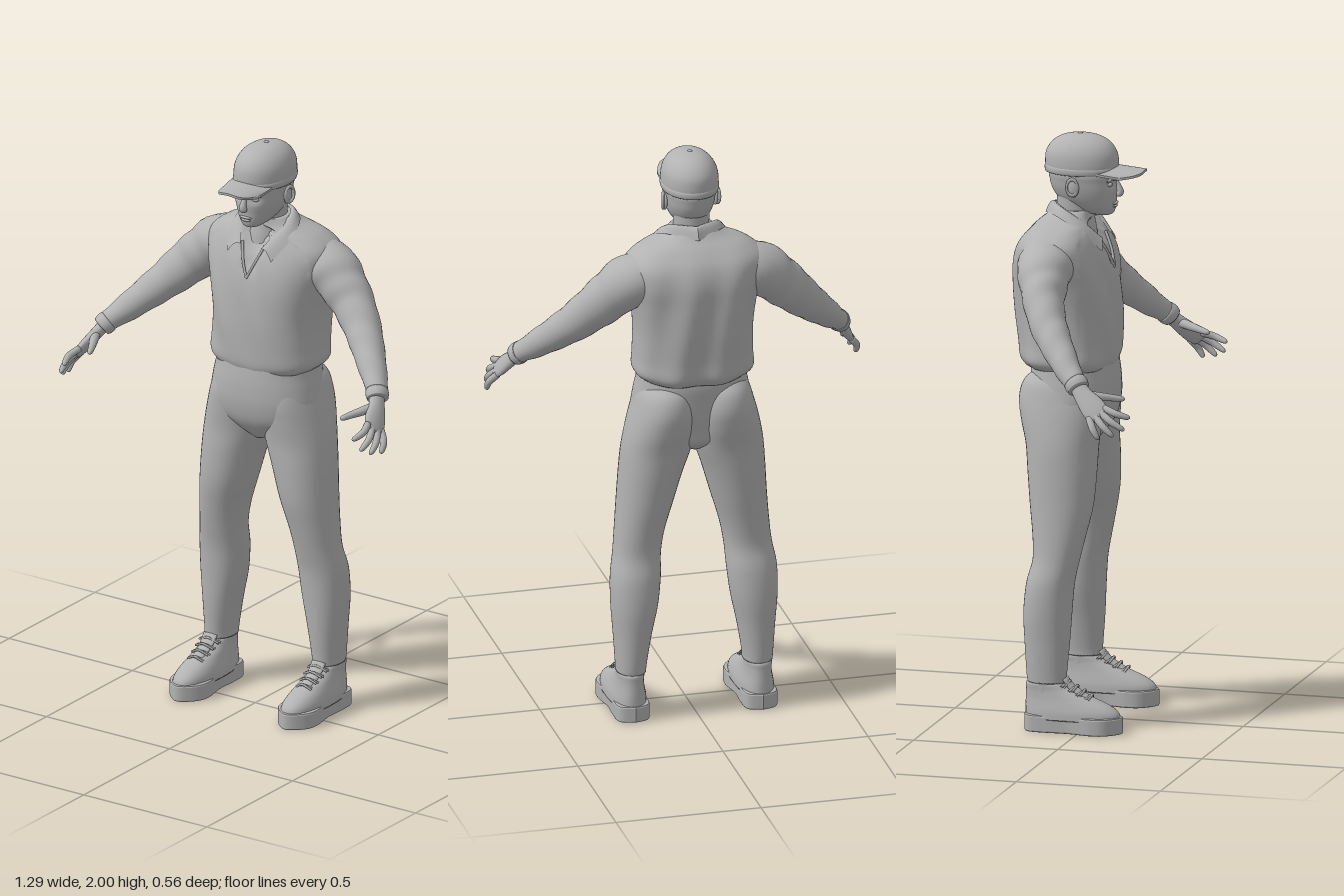
import * as THREE from 'three';

const V = (x, y, z) => new THREE.Vector3(x, y, z);
const clay = new THREE.MeshStandardMaterial({ color: 0xb2b2b2, side: THREE.DoubleSide });
clay.name = 'plain grey';

// Smoothly subdivide a list of number rows (uniform Catmull-Rom).
function smooth(rows, n) {
  const out = [], at = i => rows[Math.max(0, Math.min(rows.length - 1, i))];
  for (let i = 0; i < rows.length - 1; i++)
    for (let k = 0; k < n; k++) {
      const t = k / n, [p, q, r, s] = [at(i - 1), at(i), at(i + 1), at(i + 2)];
      out.push(q.map((_, c) => {
        const cubic = 3 * (q[c] - r[c]) + s[c] - p[c];
        const square = 2 * p[c] - 5 * q[c] + 4 * r[c] - s[c];
        return q[c] + 0.5 * t * (r[c] - p[c] + t * (square + t * cubic));
      }));
    }
  out.push(rows[rows.length - 1]);
  return out;
}

// Skin a stack of equal rings and close both ends.
function skin(rings) {
  const m = rings[0].length, pos = [], idx = [];
  rings.forEach(r => r.forEach(p => pos.push(p.x, p.y, p.z)));
  for (let i = 0; i < rings.length - 1; i++)
    for (let j = 0; j < m; j++) {
      const a = i * m + j, b = i * m + (j + 1) % m;
      idx.push(a, b, a + m, b, b + m, a + m);
    }
  [0, rings.length - 1].forEach(e => {
    const c = rings[e].reduce((s, p) => s.add(p), V(0, 0, 0)).divideScalar(m), k = pos.length / 3;
    pos.push(c.x, c.y, c.z);
    for (let j = 0; j < m; j++) {
      const a = e * m + j, b = e * m + (j + 1) % m;
      idx.push(k, ...(e ? [a, b] : [b, a]));
    }
  });
  const g = new THREE.BufferGeometry();
  g.setAttribute('position', new THREE.Float32BufferAttribute(pos, 3));
  g.setIndex(idx);
  g.computeVertexNormals();
  return g;
}

// Upright body from rows [y, xMin, xMax, zBack, zFront]; power squares off the rings.
function body(rows, power = 2, segs = 40, bend = p => p, n = 5) {
  const f = v => Math.sign(v) * Math.abs(v) ** (2 / power);
  return skin(smooth(rows, n).map(([y, x0, x1, zb, zf]) => Array.from({ length: segs }, (_, j) => {
    const a = j / segs * Math.PI * 2;
    const x = (x0 + x1) / 2 + (x1 - x0) / 2 * f(Math.cos(a));
    const z = (zb + zf) / 2 - (zf - zb) / 2 * f(Math.sin(a));
    return bend(V(x, y, z));
  })));
}
const even = rows => rows.map(([y, h, zb, zf]) => [y, -h, h, zb, zf]);

// Limb from rows [x, y, z, thickness, width]; ref is the direction of width.
function limb(rows, ref, segs = 16, n = 4, ripple = 0) {
  const rs = smooth(rows, n), c = rs.map(r => V(r[0], r[1], r[2]));
  return skin(rs.map((r, i) => {
    const T = c[Math.min(i + 1, c.length - 1)].clone().sub(c[Math.max(i - 1, 0)]).normalize();
    const B = ref.clone().addScaledVector(T, -ref.dot(T)).normalize(), A = B.clone().cross(T);
    return Array.from({ length: segs }, (_, j) => {
      const a = j / segs * Math.PI * 2, w = 1 + ripple * Math.sin(i * 1.1 + 2 * Math.sin(a));
      return c[i].clone().addScaledVector(A, r[3] * w * Math.cos(a)).addScaledVector(B, r[4] * w * Math.sin(a));
    });
  }));
}
const curve = pts => new THREE.CatmullRomCurve3(pts.map(p => V(...p)));
const cord = (pts, r) => new THREE.TubeGeometry(curve(pts), 20, r, 6);
const ball = (x, y, z, a, b, c) => new THREE.SphereGeometry(1, 20, 14).scale(a, b, c).translate(x, y, z);

// Mirror a geometry in x, keeping its faces outward.
function flipped(g) {
  const m = g.clone();
  if (!m.index) m.setIndex([...Array(m.attributes.position.count).keys()]);
  m.scale(-1, 1, 1);
  const ix = m.index.array;
  for (let i = 0; i < ix.length; i += 3) [ix[i], ix[i + 1]] = [ix[i + 1], ix[i]];
  return m;
}

export function createModel() {
  const group = new THREE.Group();
  const add = (name, g) => {
    const m = new THREE.Mesh(g, clay);
    m.name = name;
    group.add(m);
  };
  const pair = (name, g) => { add(name + 'Left', g); add(name + 'Right', flipped(g)); };

  // Shirt with loose folds at the back and an open neck
  add('shirt', body(even([
    [1.212, 0.178, -0.235, 0.055], [1.24, 0.202, -0.252, 0.063], [1.3, 0.2, -0.258, 0.065],
    [1.4, 0.2, -0.27, 0.066], [1.5, 0.213, -0.275, 0.06], [1.58, 0.232, -0.272, 0.042],
    [1.64, 0.235, -0.252, 0.016], [1.685, 0.185, -0.215, -0.008], [1.715, 0.11, -0.18, -0.02],
    [1.74, 0.07, -0.155, -0.022]]), 2.5, 96, p => {
    if (p.z < -0.14) p.z += 0.007 * Math.sin(p.x * 42 + p.y * 6) * Math.min(1, (1.74 - p.y) * 4);
    else if (p.z > -0.02) {
      p.z += 0.004 * Math.sin(p.x * 38 + p.y * 22) * Math.min(1, Math.abs(p.x) * 12);
      const gap = (p.y - 1.55) * 0.42 - Math.abs(p.x);
      if (gap > 0) p.z -= Math.min(0.02, gap * 1.2);
    }
    return p;
  }, 7));
  pair('neckOpeningEdge', cord([[0.045, 1.655, 0.01], [0.024, 1.6, 0.037], [0, 1.545, 0.054]], 0.005));

  // Turned-down collar, a strip between its neck edge and its outer edge
  const inner = curve([[0.042, 1.65, 0.026], [0.07, 1.705, -0.03], [0.073, 1.75, -0.1], [0, 1.758, -0.155]]);
  const outer = curve([[0.088, 1.615, 0.036], [0.125, 1.688, -0.035], [0.1, 1.728, -0.12], [0, 1.718, -0.186]]);
  const flap = new THREE.PlaneGeometry(1, 1, 20, 4), fp = flap.attributes.position;
  for (let i = 0; i < fp.count; i++) {
    const u = fp.getX(i) + 0.5, v = fp.getY(i) + 0.5, p = inner.getPoint(u).lerp(outer.getPoint(u), v);
    fp.setXYZ(i, p.x, p.y + 0.014 * Math.sin(v * Math.PI), p.z);
  }
  flap.computeVertexNormals();
  pair('collar', flap);

  // Sleeved arms and cuffs
  pair('arm', limb([
    [0.13, 1.6, -0.13, 0.075, 0.085], [0.22, 1.575, -0.125, 0.088, 0.095], [0.28, 1.528, -0.112, 0.083, 0.08],
    [0.335, 1.477, -0.095, 0.076, 0.068], [0.395, 1.417, -0.06, 0.065, 0.062], [0.445, 1.368, -0.02, 0.056, 0.055],
    [0.5, 1.315, 0.028, 0.046, 0.046], [0.545, 1.273, 0.07, 0.035, 0.037], [0.558, 1.258, 0.085, 0.034, 0.036]],
  V(0, 0, 1), 28, 5, 0.022));
  pair('cuff', limb([[0.545, 1.272, 0.072, 0.037, 0.039], [0.553, 1.263, 0.082, 0.038, 0.04],
    [0.561, 1.253, 0.091, 0.034, 0.037]], V(0, 0, 1), 24, 3));

  // Hands: palm, four spread fingers and thumb
  const across = V(-0.38, 0.53, 0.76);
  pair('palm', limb([[0.55, 1.265, 0.08, 0.022, 0.026], [0.57, 1.232, 0.11, 0.02, 0.032],
    [0.588, 1.2, 0.145, 0.018, 0.041], [0.602, 1.175, 0.172, 0.013, 0.038], [0.606, 1.168, 0.18, 0.006, 0.025]], across, 20));
  [[0.585, 1.17, 0.275], [0.608, 1.132, 0.262], [0.624, 1.112, 0.228], [0.634, 1.102, 0.18]].forEach((tip, i) => {
    const base = V(0.598, 1.183, 0.163).addScaledVector(across, 0.03 - i * 0.02), end = V(...tip);
    const row = (t, r) => [...base.clone().lerp(end, t).add(V(0.012 * Math.sin(t * Math.PI), 0, 0)).toArray(), r, r];
    pair('finger' + (i + 1), limb([row(0, 0.012), row(0.45, 0.012), row(0.8, 0.01), row(0.95, 0.007), row(1, 0.002)], across, 12));
  });
  pair('thumb', limb([[0.565, 1.235, 0.115, 0.014, 0.016], [0.548, 1.228, 0.155, 0.015, 0.015],
    [0.528, 1.222, 0.195, 0.012, 0.012], [0.514, 1.217, 0.227, 0.009, 0.009], [0.51, 1.215, 0.236, 0.002, 0.002]], V(0, 1, 0), 12));

  // Trousers
  add('trouserSeat', body(even([[0.95, 0.03, -0.15, -0.01], [0.985, 0.11, -0.19, 0.022], [1.03, 0.185, -0.2, 0.05],
    [1.09, 0.203, -0.212, 0.064], [1.15, 0.196, -0.22, 0.066], [1.2, 0.186, -0.225, 0.062], [1.25, 0.18, -0.22, 0.055]]), 2.2, 56));
  pair('trouserLeg', body([
    [0.165, 0.168, 0.268, -0.184, -0.052], [0.2, 0.165, 0.27, -0.188, -0.05], [0.3, 0.148, 0.277, -0.195, -0.042],
    [0.4, 0.127, 0.285, -0.2, -0.037], [0.5, 0.115, 0.285, -0.191, -0.03], [0.58, 0.11, 0.272, -0.172, -0.014],
    [0.66, 0.096, 0.264, -0.176, 0.004], [0.76, 0.067, 0.256, -0.19, 0.024], [0.87, 0.035, 0.249, -0.203, 0.03],
    [0.96, 0.005, 0.241, -0.214, 0.031], [1.04, -0.006, 0.225, -0.235, 0.04], [1.11, -0.004, 0.206, -0.245, 0.045],
    [1.17, 0.01, 0.186, -0.228, 0.03], [1.21, 0.04, 0.15, -0.18, -0.02]], 2.1));

  // Shoes: sole, upper, sock, tongue and laces
  const sole = new THREE.Shape();
  sole.moveTo(0.22, 0.188);
  sole.splineThru([[0.265, 0.17], [0.272, 0.11], [0.27, 0.03], [0.283, -0.05], [0.27, -0.1], [0.22, -0.138],
    [0.17, -0.1], [0.157, -0.05], [0.17, 0.03], [0.168, 0.11], [0.175, 0.17], [0.22, 0.188]].map(p => new THREE.Vector2(...p)));
  pair('sole', new THREE.ExtrudeGeometry(sole, {
    depth: 0.046, bevelThickness: 0.006, bevelSize: 0.007, bevelSegments: 2, curveSegments: 48,
  }).rotateX(-Math.PI / 2).translate(0, 0.006, 0));
  pair('shoeUpper', body([[0.045, 0.155, 0.285, -0.19, 0.138], [0.07, 0.157, 0.283, -0.19, 0.13],
    [0.092, 0.163, 0.277, -0.19, 0.1], [0.115, 0.17, 0.27, -0.189, 0.045], [0.14, 0.175, 0.265, -0.188, -0.018],
    [0.16, 0.176, 0.264, -0.188, -0.05], [0.168, 0.182, 0.258, -0.182, -0.06]], 2.3));
  pair('sock', new THREE.CylinderGeometry(0.045, 0.045, 0.06, 24).scale(1, 1, 1.25).translate(0.22, 0.165, -0.12));
  pair('tongue', limb([[0.22, 0.115, 0.03, 0.008, 0.02], [0.22, 0.145, -0.025, 0.01, 0.026],
    [0.22, 0.18, -0.055, 0.007, 0.028]], V(1, 0, 0), 12));
  for (let i = 0; i < 4; i++) {
    const y = 0.122 + i * 0.014, z = 0.038 - i * 0.026, s = 0.03 + i * 0.003;
    for (const d of [-1, 1])
      pair('lace', cord([[0.22 - s, y - 0.008, z - 0.006 * d - 0.012], [0.22, y + 0.007, z + 0.002],
        [0.22 + s, y - 0.008, z + 0.006 * d - 0.012]], 0.004));
  }

  // Neck and head, with eye hollows
  add('neck', body(even([[1.55, 0.06, -0.14, 0.0], [1.66, 0.062, -0.145, -0.008], [1.72, 0.06, -0.143, -0.018],
    [1.8, 0.062, -0.145, -0.02]])));
  add('head', body(even([[1.722, 0.015, -0.01, 0.035], [1.73, 0.033, -0.045, 0.05], [1.75, 0.053, -0.095, 0.057],
    [1.78, 0.07, -0.14, 0.06], [1.81, 0.08, -0.16, 0.064], [1.84, 0.085, -0.168, 0.063],
    [1.87, 0.087, -0.17, 0.062], [1.92, 0.07, -0.15, 0.04]]), 2.15, 56, p => {
    const dx = (Math.abs(p.x) - 0.033) / 0.017, dy = (p.y - 1.833) / 0.014;
    if (p.z > 0) p.z -= 0.009 * Math.exp(-dx * dx - dy * dy);
    return p;
  }));
  add('nose', limb([[0, 1.845, 0.058, 0.006, 0.007], [0, 1.825, 0.066, 0.009, 0.009], [0, 1.805, 0.073, 0.012, 0.013],
    [0, 1.795, 0.07, 0.011, 0.015], [0, 1.789, 0.063, 0.004, 0.008]], V(1, 0, 0), 14));
  pair('eye', ball(0.032, 1.832, 0.046, 0.014, 0.008, 0.009));
  pair('brow', cord([[0.014, 1.848, 0.062], [0.035, 1.852, 0.056], [0.056, 1.846, 0.044]], 0.005));
  add('upperLip', ball(0, 1.764, 0.057, 0.024, 0.005, 0.008));
  add('lowerLip', ball(0, 1.754, 0.055, 0.02, 0.005, 0.008));
  pair('ear', ball(0.087, 1.825, -0.066, 0.009, 0.032, 0.021));
  pair('earRim', new THREE.TorusGeometry(0.02, 0.005, 8, 24).scale(0.9, 1.35, 1).rotateY(Math.PI / 2 - 0.3).translate(0.093, 1.828, -0.068));

  // Cap: crown, band, button and curved brim
  add('capCrown', body(even([[1.868, 0.093, -0.181, 0.064], [1.9, 0.095, -0.184, 0.066], [1.935, 0.09, -0.18, 0.06],
    [1.965, 0.074, -0.16, 0.04], [1.985, 0.05, -0.13, 0.008], [1.994, 0.025, -0.095, -0.03], [1.996, 0.004, -0.07, -0.06]]), 2.05, 48));
  add('capBand', body(even([[1.866, 0.094, -0.183, 0.066], [1.874, 0.0965, -0.1855, 0.068], [1.884, 0.0965, -0.1855, 0.068],
    [1.89, 0.094, -0.183, 0.065]]), 2.05, 48));
  add('capButton', ball(0, 1.994, -0.065, 0.009, 0.006, 0.009));
  const brim = new THREE.BoxGeometry(2, 1, 1, 24, 1, 10), bp = brim.attributes.position;
  for (let i = 0; i < bp.count; i++) {
    const u = bp.getX(i), t = bp.getZ(i) + 0.5, x = 0.08 * u * (1 - 0.1 * t * t);
    const back = -0.01, front = 0.16 - 0.07 * Math.abs(u) ** 4;
    bp.setXYZ(i, x, 1.893 - 0.014 * t - 0.018 * u * u + bp.getY(i) * 0.008, back + (front - back) * t);
  }
  brim.computeVertexNormals();
  add('capBrim', brim);

  return group;
}
